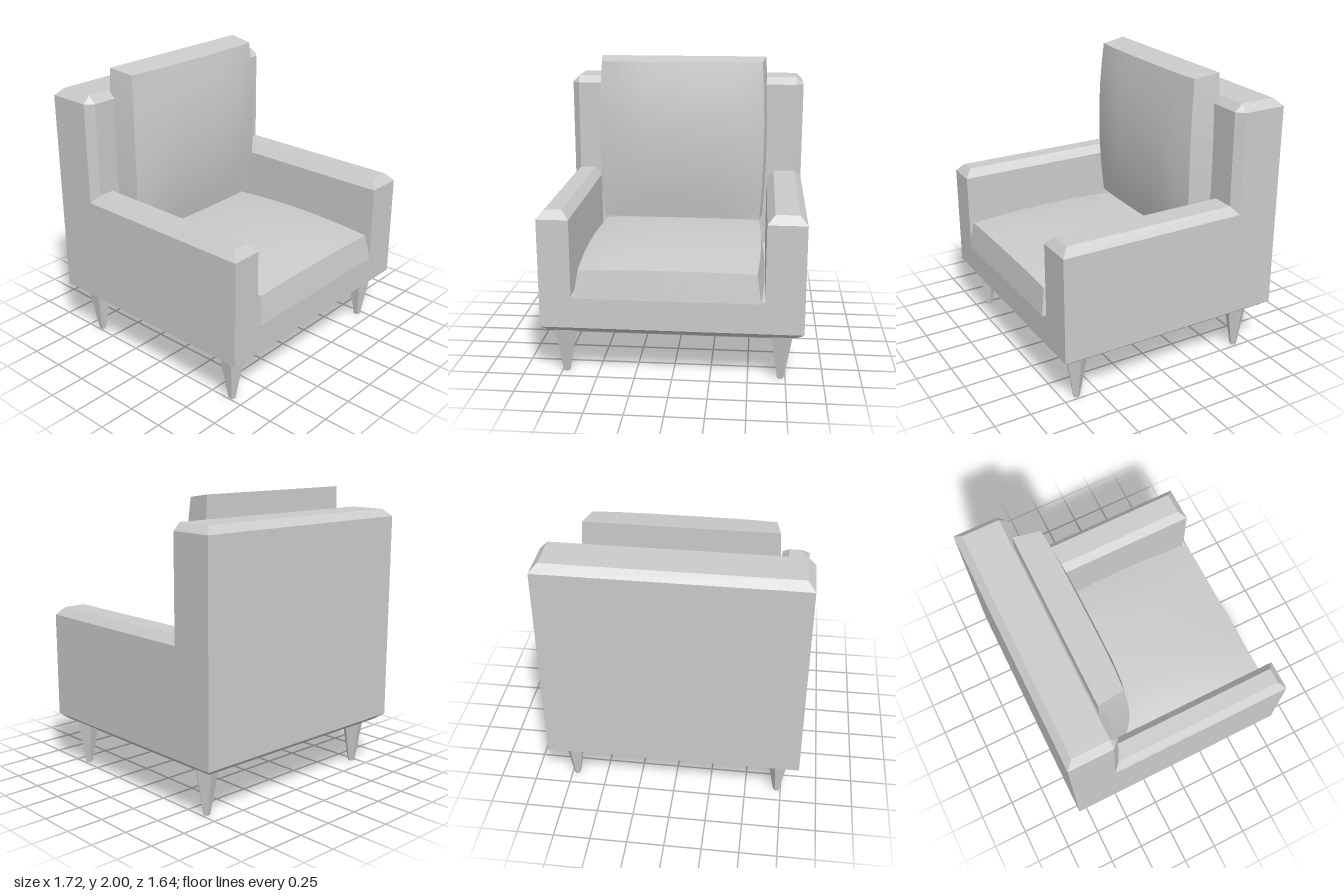
import * as THREE from 'three';

const material = new THREE.MeshStandardMaterial({ color: 0xcccccc });
const flat = new THREE.MeshStandardMaterial({ color: 0xcccccc, flatShading: true });

function addMesh(parent, name, geometry, mat) {
  const mesh = new THREE.Mesh(geometry, mat);
  mesh.name = name;
  parent.add(mesh);
  return mesh;
}

// Outline corners, counterclockwise seen from above
const rect = (x0, x1, z0, z1) => [[x0, z0], [x0, z1], [x1, z1], [x1, z0]];

// Solid from stacked convex outlines: rings = [[y, outline], ...]
function stack(rings, bottomCap = true) {
  const pos = [];
  const loops = rings.map(([y, outline]) => outline.map(([x, z]) => [x, y, z]));
  const tri = (a, b, c) => pos.push(...a, ...b, ...c);
  const n = loops[0].length;
  for (let k = 0; k + 1 < loops.length; k++) {
    for (let i = 0; i < n; i++) {
      const j = (i + 1) % n;
      const [lo, hi] = [loops[k], loops[k + 1]];
      tri(lo[i], lo[j], hi[j]);
      tri(lo[i], hi[j], hi[i]);
    }
  }
  const bottom = loops[0], top = loops[loops.length - 1];
  for (let i = 1; i + 1 < n; i++) {
    tri(top[0], top[i], top[i + 1]);
    if (bottomCap) tri(bottom[0], bottom[i + 1], bottom[i]);
  }
  const g = new THREE.BufferGeometry();
  g.setAttribute('position', new THREE.Float32BufferAttribute(pos, 3));
  g.computeVertexNormals();
  return g;
}

// Pillow: tapers towards its domed upper face, with bulging left and right sides
function cushion(halfW, halfD, thickness, dome, taper) {
  const g = new THREE.BoxGeometry(2, 1, 2, 8, 1, 8);
  const p = g.attributes.position;
  for (let i = 0; i < p.count; i++) {
    const u = p.getX(i), v = p.getZ(i), t = p.getY(i) > 0 ? 1 : 0;
    const a = 1 - u ** 4, b = 1 - v * v;
    p.setXYZ(i,
      u * (halfW + 0.022 * b - taper * t),
      t * (thickness + dome * (0.2 * a + 0.35 * b + 0.45 * a * b)),
      v * (halfD - taper * t));
  }
  g.computeVertexNormals();
  return g;
}

export function createModel() {
  const chair = new THREE.Group();
  chair.name = 'armchair';

  // Base with a chamfered underside
  addMesh(chair, 'base', stack([
    [0.33, rect(-0.81, 0.81, -0.77, 0.75)],
    [0.37, rect(-0.86, 0.86, -0.82, 0.8)],
    [0.585, rect(-0.86, 0.86, -0.82, 0.8)],
  ]), flat);

  // Armrests with chamfered tops, one slightly wider than the other
  for (const [name, x0, x1] of [['rightArm', -0.86, -0.65], ['leftArm', 0.605, 0.86]]) {
    addMesh(chair, name, stack([
      [0.585, rect(x0, x1, -0.515, 0.8)],
      [1.1, rect(x0, x1, -0.515, 0.8)],
      [1.155, rect(x0 + 0.05, x1 - 0.05, -0.515, 0.75)],
    ], false), flat);
  }

  // Backrest with chamfered front corners and top
  const backOutline = [[-0.86, -0.82], [-0.86, -0.515], [-0.81, -0.465],
    [0.81, -0.465], [0.86, -0.515], [0.86, -0.82]];
  const backTop = [[-0.81, -0.77], [-0.81, -0.515], [-0.81, -0.515],
    [0.81, -0.515], [0.81, -0.515], [0.81, -0.77]];
  addMesh(chair, 'backrest',
    stack([[0.585, backOutline], [1.8, backOutline], [1.85, backTop]], false), flat);

  // Cushions
  const seat = addMesh(chair, 'seatCushion', cushion(0.606, 0.645, 0.185, 0.05, 0.03), material);
  seat.position.set(-0.025, 0.58, 0.172);
  const back = addMesh(chair, 'backCushion', cushion(0.606, 0.605, 0.18, 0.08, 0.025), material);
  back.rotation.x = Math.PI / 2;
  back.position.set(-0.025, 1.395, -0.503);

  // Tapered five-sided legs
  const legGeometry = new THREE.CylinderGeometry(0.083, 0.024, 0.33, 5, 1, false, Math.PI / 2);
  for (const [side, x] of [['Right', -0.722], ['Left', 0.716]]) {
    for (const [end, z] of [['front', 0.652], ['back', -0.638]]) {
      addMesh(chair, `${end}${side}Leg`, legGeometry, flat).position.set(x, 0.165, z);
    }
  }
  return chair;
}
